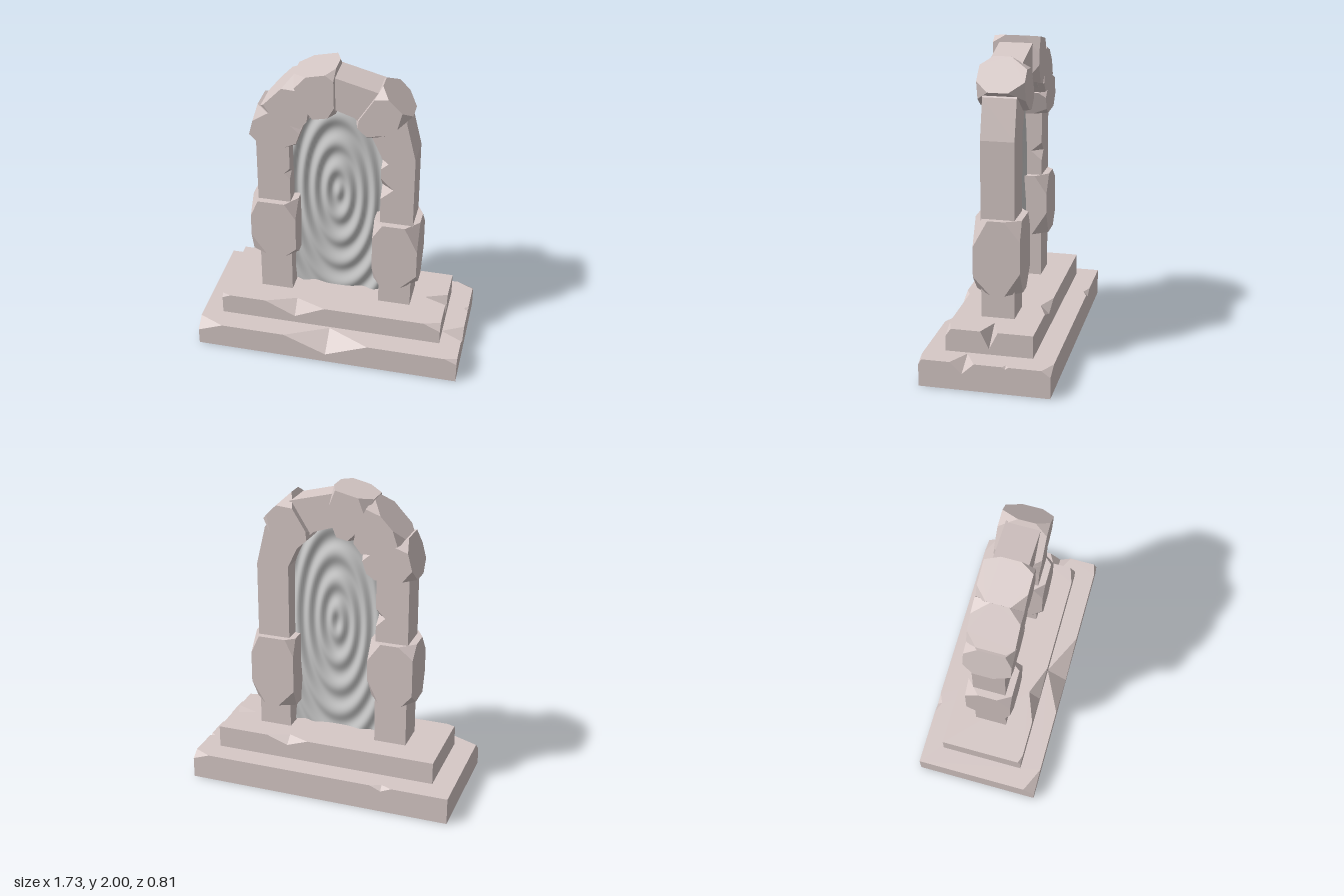
import * as THREE from 'three';
import { ConvexGeometry } from 'three/addons/geometries/ConvexGeometry.js';

const stone = new THREE.MeshStandardMaterial({ color: 0xd6c8c6, flatShading: true });
const veil = new THREE.MeshStandardMaterial({ color: 0xcccccc, side: THREE.DoubleSide });

function seeded(seed) {
  return () => (seed = (seed * 16807) % 2147483647) / 2147483647;
}

// Triangulates a flat polygon and turns it towards the normal n.
function addFace(out, pts, n) {
  const a = [Math.abs(n.x), Math.abs(n.y), Math.abs(n.z)];
  const drop = a.indexOf(Math.max(...a));
  const flat = pts.map((p) => drop === 0 ? new THREE.Vector2(p.y, p.z)
    : drop === 1 ? new THREE.Vector2(p.x, p.z) : new THREE.Vector2(p.x, p.y));
  for (const [i, j, k] of THREE.ShapeUtils.triangulateShape(flat, [])) {
    const t = new THREE.Triangle(pts[i], pts[j], pts[k]);
    const ok = t.getNormal(new THREE.Vector3()).dot(n) > 0;
    for (const p of ok ? [t.a, t.b, t.c] : [t.a, t.c, t.b]) out.push(p.x, p.y, p.z);
  }
}

// Prism from a counterclockwise outline, with notches chipped out of its rims.
// notch: edge, mid (from the edge's middle), half width, inward and down depths, rim 1 or 0
// corners: index -> [cut along previous edge, cut along next edge, cut down], on rim 1
function chippedPrism(outline, w0, w1, notches = [], corners = {}) {
  const out = [];
  const P = outline.map(([x, y]) => new THREE.Vector2(x, y));
  const N = P.length;
  const caps = [[], []];
  for (let i = 0; i < N; i++) {
    const p = P[i], q = P[(i + 1) % N];
    const len = p.distanceTo(q);
    const d = q.clone().sub(p).divideScalar(len);
    const at = (s, inward, w) =>
      new THREE.Vector3(p.x + d.x * s - d.y * inward, p.y + d.y * s + d.x * inward, w);
    const outward = new THREE.Vector3(d.y, -d.x, 0);
    const rims = [0, 1].map((rim) => {
      const w = rim ? w1 : w0, dir = rim ? 1 : -1;
      const c0 = rim && corners[i], c1 = rim && corners[(i + 1) % N];
      const line = [];
      if (c0) line.push(at(0, 0, w - c0[2]));
      const start = at(c0 ? c0[1] : 0, 0, w);
      line.push(start);
      caps[rim].push(start);
      if (c0) {
        const b = P[(i + N - 1) % N].clone().sub(p).setLength(c0[0]).add(p);
        const prev = new THREE.Vector3(b.x, b.y, w);
        addFace(out, [prev, start, line[0]], new THREE.Vector3(0, 0, 1));
      }
      const mine = notches.filter((c) => c.edge === i && (c.rim ?? 1) === rim)
        .sort((a, b) => a.mid - b.mid);
      for (const c of mine) {
        const s = len / 2 + c.mid;
        const A = at(s - c.half, 0, w), B = at(s + c.half, 0, w);
        const C = at(s, 0, w - dir * c.down), D = at(s, c.inward, w);
        line.push(A, C, B);
        caps[rim].push(A, D, B);
        const n = outward.clone().add(new THREE.Vector3(0, 0, dir));
        addFace(out, [A, C, D], n);
        addFace(out, [B, C, D], n);
      }
      const end = at(len - (c1 ? c1[0] : 0), 0, w);
      line.push(end);
      if (c1) {
        caps[rim].push(end);
        line.push(at(len, 0, w - c1[2]));
      }
      return line;
    });
    addFace(out, [...rims[0], ...rims[1].reverse()], outward);
  }
  addFace(out, caps[0], new THREE.Vector3(0, 0, -1));
  addFace(out, caps[1], new THREE.Vector3(0, 0, 1));
  const g = new THREE.BufferGeometry();
  g.setAttribute('position', new THREE.Float32BufferAttribute(out, 3));
  g.computeVertexNormals();
  return g;
}

// Slab of a step; edges run front, right side, back, left side.
function slab(x, z, y0, y1, notches, corners) {
  const g = chippedPrism([[-x, -z], [x, -z], [x, z], [-x, z]], y0, y1, notches, corners);
  return g.rotateX(-Math.PI / 2);
}

// Rough stone: a four-cornered block with every corner cut off at random.
function rock(quad, depth, seed) {
  const rnd = seeded(seed);
  for (let i = 0; i < 9; i++) rnd();
  const pts = [];
  for (const side of [-1, 1]) {
    quad.forEach(([x, y], i) => {
      const c = new THREE.Vector3(x, y, side * depth);
      const ends = [quad[(i + 1) % 4], quad[(i + 3) % 4]]
        .map(([u, v]) => new THREE.Vector3(u, v, side * depth));
      ends.push(new THREE.Vector3(x, y, -side * depth));
      for (const e of ends) pts.push(c.clone().lerp(e, 0.14 + 0.24 * rnd()));
    });
  }
  return new ConvexGeometry(pts);
}

// Thin rippled sheet filling the doorway.
function rippledSheet() {
  const y0 = 0.34, y1 = 1.745, cy = 1.08;
  const g = new THREE.PlaneGeometry(2, 1, 48, 120);
  const p = g.attributes.position;
  for (let i = 0; i < p.count; i++) {
    const y = y0 + (p.getY(i) + 0.5) * (y1 - y0);
    const k = Math.max(0, (y - 1.3) / 0.45);
    const x = p.getX(i) * Math.min(0.29, 0.3 * Math.sqrt(1 - k * k));
    const r = Math.hypot(x / 0.42, y - cy);
    p.setXYZ(i, x, y, 0.011 * Math.cos(r * 34));
  }
  g.computeVertexNormals();
  return g;
}

export function createModel() {
  const model = new THREE.Group();
  const add = (name, geometry, material = stone) => {
    const m = new THREE.Mesh(geometry, material);
    m.name = name;
    model.add(m);
  };

  // Two steps
  add('lowerStep', slab(0.865, 0.405, 0, 0.175, [
    { edge: 0, mid: 0, half: 0.28, inward: 0.135, down: 0.115 },
    { edge: 1, mid: -0.135, half: 0.075, inward: 0.14, down: 0.07 },
    { edge: 1, mid: 0.13, half: 0.02, inward: 0.03, down: 0.015 },
    { edge: 2, mid: 0.43, half: 0.07, inward: 0.03, down: 0.03 },
  ], { 0: [0.075, 0.165, 0.065], 1: [0.08, 0.02, 0.035], 2: [0.055, 0.11, 0.04] }));
  add('upperStep', slab(0.73, 0.272, 0.185, 0.33, [
    { edge: 0, mid: -0.235, half: 0.2, inward: 0.075, down: 0.095 },
    { edge: 1, mid: 0, half: 0.055, inward: 0.145, down: 0.11 },
    { edge: 2, mid: -0.25, half: 0.14, inward: 0.055, down: 0.05 },
  ], { 0: [0.02, 0.055, 0.025], 1: [0.11, 0.035, 0.05] }));

  // Pillars and arch in one piece, chipped along the doorway
  add('archFrame', chippedPrism([
    [-0.5, 0.33], [-0.29, 0.33], [-0.29, 1.45], [-0.22, 1.6], [-0.12, 1.7], [0, 1.74],
    [0.12, 1.7], [0.22, 1.6], [0.29, 1.45], [0.29, 0.33], [0.5, 0.33], [0.5, 1.45],
    [0.44, 1.7], [0.27, 1.885], [0, 1.955], [-0.23, 1.85], [-0.41, 1.66], [-0.5, 1.47],
  ], -0.105, 0.105, [
    { edge: 1, mid: 0.35, half: 0.04, inward: 0.035, down: 0.05 },
    { edge: 1, mid: 0.3, half: 0.06, inward: 0.06, down: 0.07, rim: 0 },
    { edge: 8, mid: -0.325, half: 0.075, inward: 0.08, down: 0.06 },
    { edge: 8, mid: -0.51, half: 0.04, inward: 0.045, down: 0.05 },
  ]));

  // Large rough stones set on the pillars and arch, corners counterclockwise
  const rocks = {
    rightPillarStone: [[-0.545, 0.625], [-0.25, 0.625], [-0.25, 1.03], [-0.545, 1.03]],
    leftPillarStone: [[0.25, 0.49], [0.54, 0.49], [0.54, 0.965], [0.25, 0.965]],
    rightSpringerStone: [[-0.545, 1.465], [-0.25, 1.45], [-0.2, 1.6], [-0.48, 1.72]],
    rightArchStone: [[-0.475, 1.7], [-0.22, 1.59], [-0.14, 1.69], [-0.25, 1.94]],
    topStone: [[-0.17, 1.67], [0.005, 1.71], [0, 2], [-0.26, 1.94]],
    leftArchStone: [[0.24, 1.57], [0.47, 1.735], [0.285, 1.92], [0.13, 1.67]],
  };
  Object.entries(rocks).forEach(([name, quad], i) => add(name, rock(quad, 0.147, 71 + i * 37)));

  add('rippledSheet', rippledSheet(), veil);
  return model;
}
